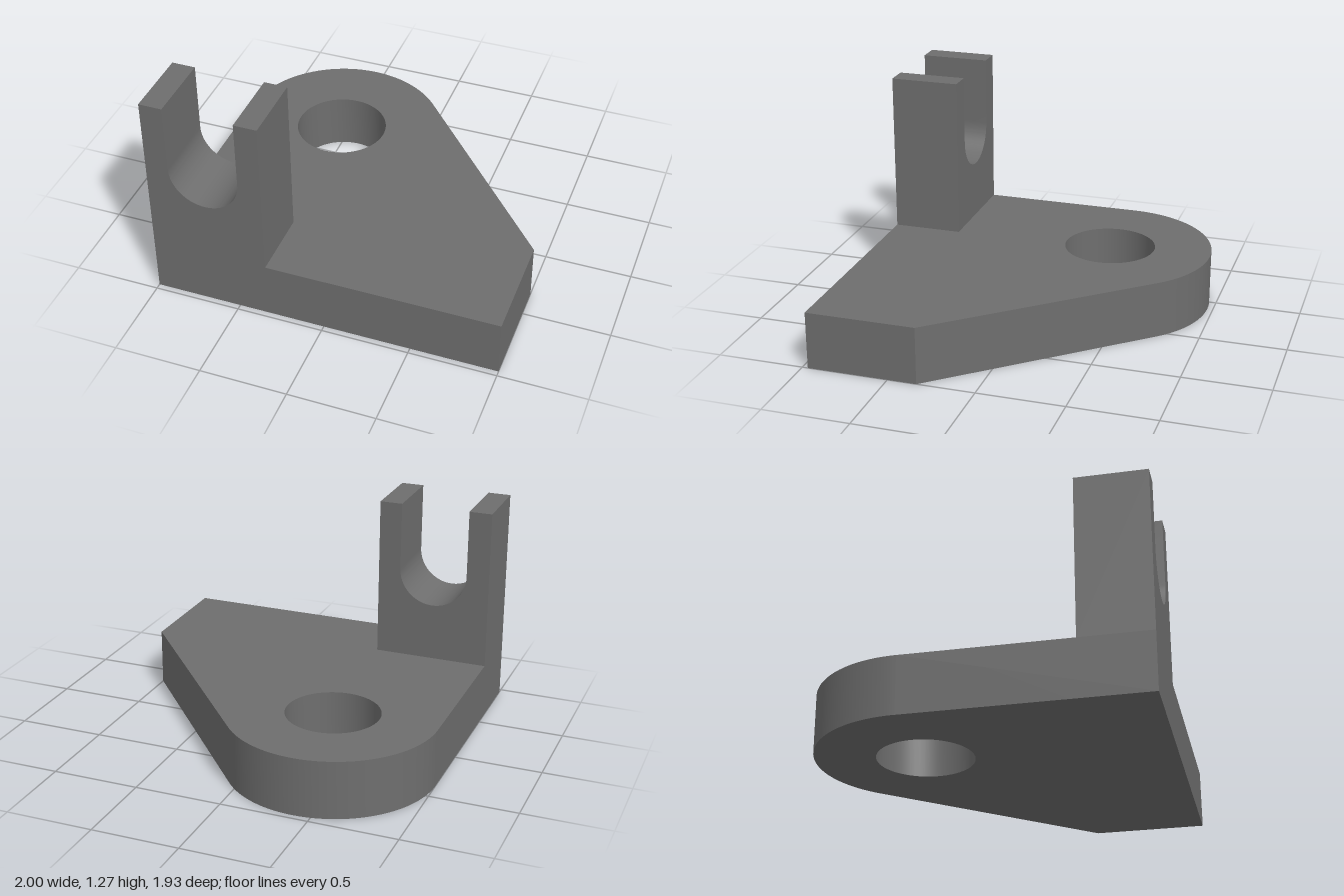
import * as THREE from 'three';
import { toCreasedNormals } from 'three/addons/utils/BufferGeometryUtils.js';

const material = new THREE.MeshStandardMaterial({ color: 0x6e6e6e });

// Straight extrusion with smooth curves and sharp edges
function extrude(name, shape, depth) {
  const geometry = new THREE.ExtrudeGeometry(shape, { depth, bevelEnabled: false, curveSegments: 32 });
  const mesh = new THREE.Mesh(toCreasedNormals(geometry, Math.PI / 6), material);
  mesh.name = name;
  return mesh;
}

export function createModel() {
  const group = new THREE.Group();
  group.name = 'bracket';
  const thickness = 1 / 3, front = 0.967;

  // Base plate, drawn in plan (shape y = -z): round lobe with a tangent sloping edge
  const cx = -0.4, cy = 0.367, radius = 0.6;
  const corner = new THREE.Vector2(1, -0.333);
  const dx = corner.x - cx, dy = corner.y - cy;
  const tangent = Math.atan2(dy, dx) + Math.acos(radius / Math.hypot(dx, dy));
  const plan = new THREE.Shape();
  plan.moveTo(-1, -front);
  plan.lineTo(1, -front);
  plan.lineTo(corner.x, corner.y);
  plan.absarc(cx, cy, radius, tangent, Math.PI, false);
  plan.closePath();

  // Round through hole, concentric with the lobe
  const hole = new THREE.Path();
  hole.absarc(cx, cy, 0.267, 0, Math.PI * 2, true);
  plan.holes.push(hole);

  const base = extrude('basePlate', plan, thickness);
  base.rotation.x = -Math.PI / 2;
  group.add(base);

  // Upright fork with a round-bottomed slot open at the top
  const top = 1.267, right = -1, left = -0.333, depth = 0.402;
  const slotX = -0.666, slotY = 0.868, slotR = 0.201;
  const fork = new THREE.Shape();
  fork.moveTo(right, thickness);
  fork.lineTo(left, thickness);
  fork.lineTo(left, top);
  fork.lineTo(slotX + slotR, top);
  fork.lineTo(slotX + slotR, slotY);
  fork.absarc(slotX, slotY, slotR, 0, -Math.PI, true);
  fork.lineTo(slotX - slotR, top);
  fork.lineTo(right, top);
  fork.closePath();

  const upright = extrude('slottedUpright', fork, depth);
  upright.position.z = front - depth;
  group.add(upright);

  return group;
}
